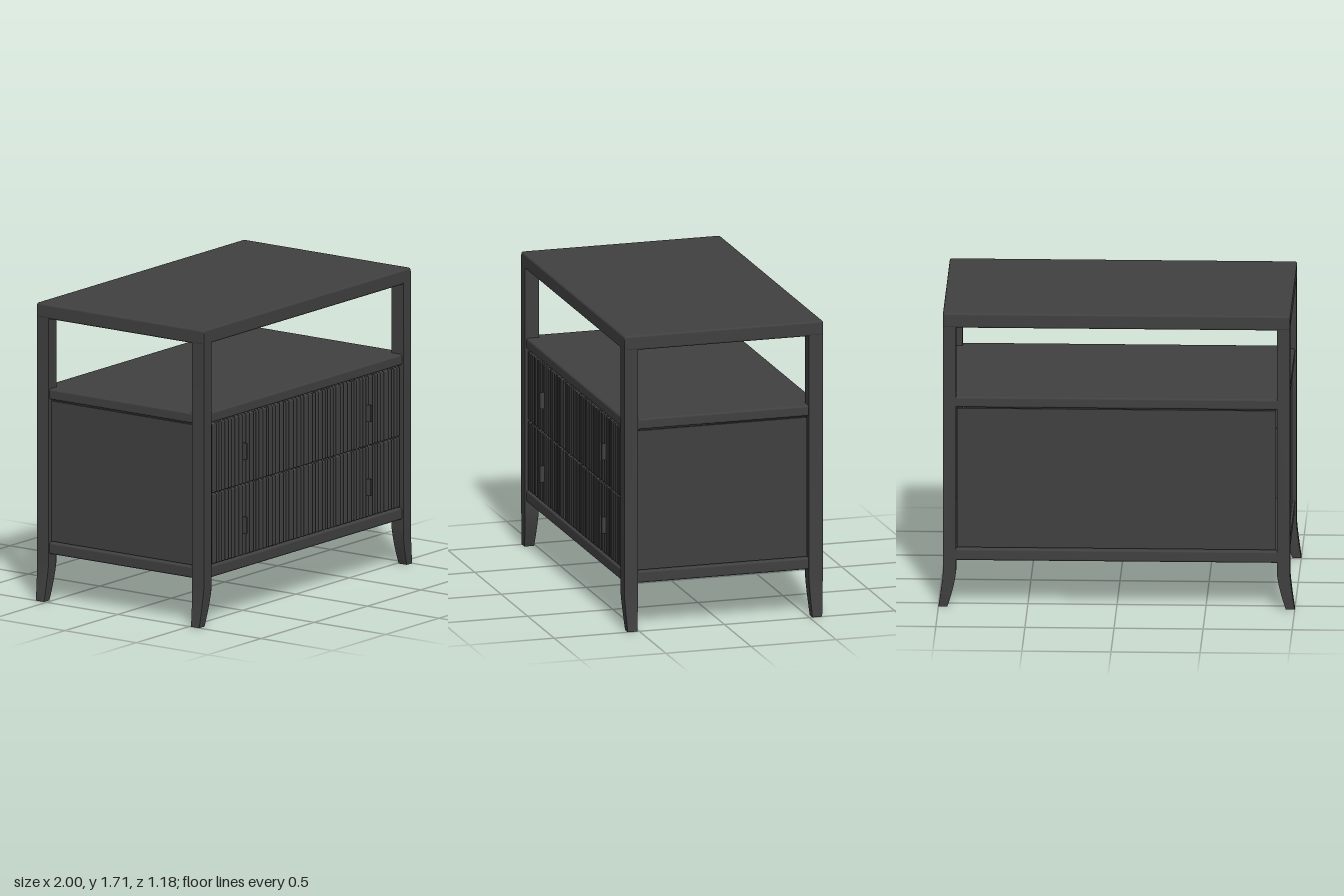
import * as THREE from 'three';
import { RoundedBoxGeometry } from 'three/addons/geometries/RoundedBoxGeometry.js';
import { toCreasedNormals } from 'three/addons/utils/BufferGeometryUtils.js';

const material = new THREE.MeshStandardMaterial({ color: 0x404040 });
const ZC = -0.005; // middle of the cabinet depth

export function createModel() {
  const group = new THREE.Group();

  const add = (name, geometry) => {
    const mesh = new THREE.Mesh(geometry, material);
    mesh.name = name;
    group.add(mesh);
    return mesh;
  };
  // Box given by its limits on each axis, with softened edges if r > 0
  const block = (name, [x0, x1], [y0, y1], [z0, z1], r = 0) => {
    const size = [x1 - x0, y1 - y0, z1 - z0];
    const geometry = r ? new RoundedBoxGeometry(...size, 2, r) : new THREE.BoxGeometry(...size);
    const mesh = add(name, geometry);
    mesh.position.set((x0 + x1) / 2, (y0 + y1) / 2, (z0 + z1) / 2);
    return mesh;
  };

  // Corner posts running down into splayed, tapered feet
  const footTop = 0.22, steps = 10;
  const outer = [], inner = [];
  for (let i = 0; i <= steps; i++) {
    const t = 1 - i / steps, y = footTop * (1 - t);
    outer.push(new THREE.Vector2(0.973 + 0.027 * t ** 1.3, y));
    inner.push(new THREE.Vector2(0.9 + 0.05 * t ** 1.5, y));
  }
  outer.push(new THREE.Vector2(0.973, 1.69));
  inner.push(new THREE.Vector2(0.9, 1.69));
  const profile = new THREE.Shape([...outer, ...inner.reverse()]);
  let post = new THREE.ExtrudeGeometry(profile, { depth: 0.082, bevelEnabled: false });
  post.translate(0, 0, -0.041);
  const p = post.attributes.position;
  for (let i = 0; i < p.count; i++) {
    const t = Math.max(0, 1 - p.getY(i) / footTop);
    p.setZ(i, p.getZ(i) * (1 - 0.3 * t));
  }
  post = toCreasedNormals(post, 0.5);
  for (const [end, z] of [['front', 0.539], ['back', -0.546]]) {
    for (const [side, turn] of [['Left', 0], ['Right', Math.PI]]) {
      const mesh = add(end + side + 'Post', post);
      mesh.rotation.y = turn;
      mesh.position.z = z;
    }
  }

  // Top, open shelf and base
  block('top', [-0.975, 0.975], [1.625, 1.71], [-0.59, 0.58], 0.012);
  block('shelf', [-0.965, 0.965], [1.16, 1.222], [-0.58, 0.57], 0.012);
  block('base', [-0.965, 0.965], [0.27, 0.338], [-0.58, 0.57], 0.012);

  // Side and back panels, set in a little from the frame
  for (const s of [-1, 1]) {
    const x = [0.935 * s, 0.955 * s].sort((a, b) => a - b);
    block(s > 0 ? 'leftPanel' : 'rightPanel', x, [0.344, 1.152], [-0.5, 0.495]);
  }
  block('backPanel', [-0.895, 0.895], [0.344, 1.152], [-0.565, -0.545]);

  // Seeded generator for the uneven slat widths
  let seed = 7;
  const random = () => (seed = (seed * 16807) % 2147483647) / 2147483647;
  const widths = Array.from({ length: 58 }, () => 0.6 + 0.8 * random());
  const scale = 1.78 / widths.reduce((a, b) => a + b, 0);

  // Two fluted drawers, one above the other
  const rows = [['lowerDrawer', 0.344, 0.747], ['upperDrawer', 0.753, 1.152]];
  for (const [name, y0, y1] of rows) {
    block(name + 'Front', [-0.895, 0.895], [y0, y1], [0.525, 0.55]);
    let x = -0.89;
    for (const w of widths) {
      const next = x + w * scale;
      block(name + 'Slat', [x + 0.002, next - 0.002], [y0, y1], [0.535, 0.567], 0.007);
      x = next;
    }
  }

  // Slim upright pulls
  for (const hx of [-0.583, 0.583]) {
    for (const hy of [0.517, 0.943]) {
      block('drawerPull', [hx - 0.006, hx + 0.006], [hy - 0.048, hy + 0.048], [0.56, 0.592]);
    }
  }

  return group;
}
